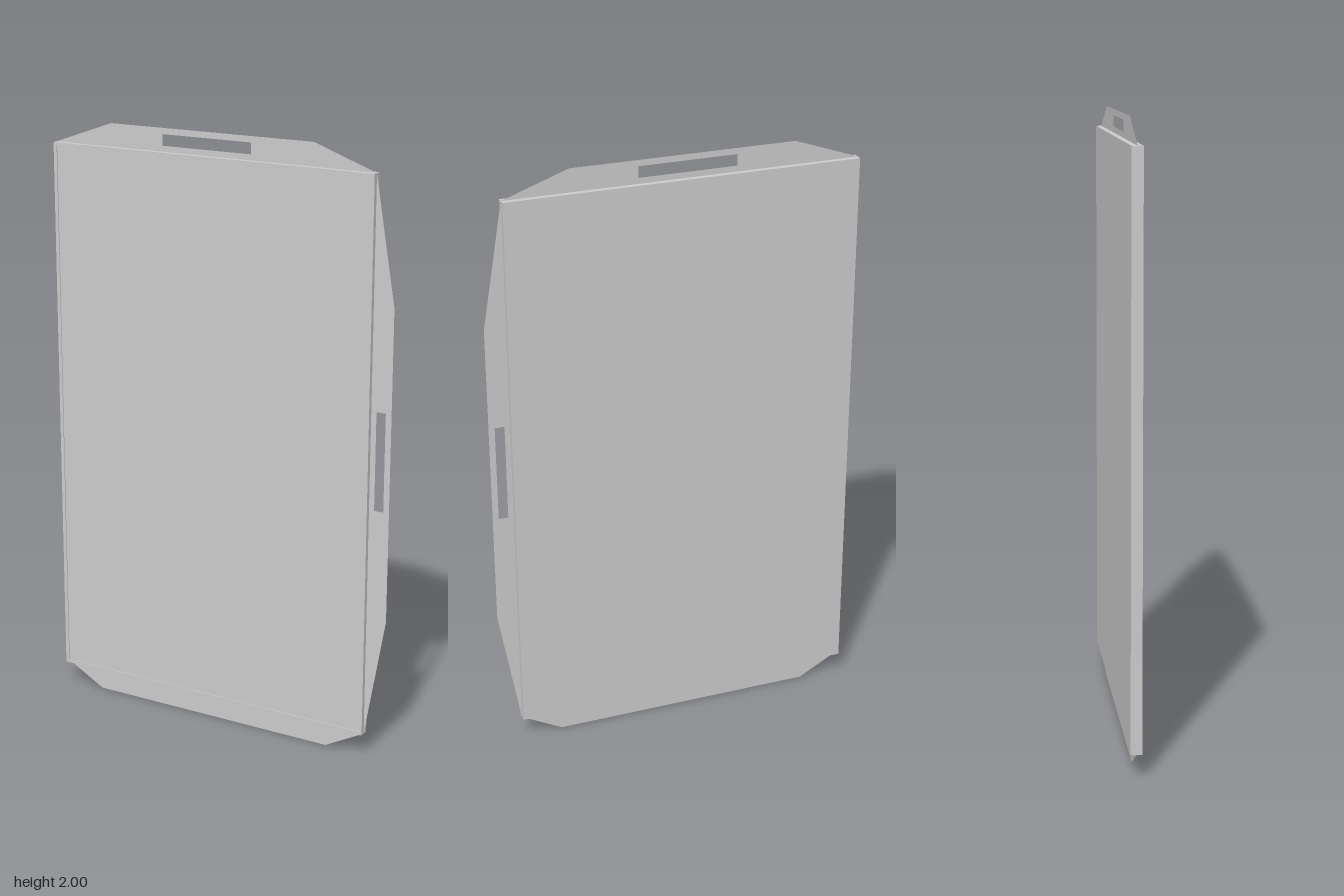
import * as THREE from 'three';

const LEFT = -0.62, RIGHT = 0.55, BOTTOM = 0.076, TOP = 1.924;
const HALF = 0.018, RIM = 0.012, RECESS = 0.003;

export function createModel() {
  const group = new THREE.Group();
  const solid = new THREE.MeshStandardMaterial({ color: 0xcccccc, flatShading: true });
  const sheet = new THREE.MeshStandardMaterial({ color: 0xcccccc, side: THREE.DoubleSide });

  const add = (name, geometry, material) => {
    const mesh = new THREE.Mesh(geometry, material);
    mesh.name = name;
    group.add(mesh);
  };

  // box given by its two opposite corners
  const box = (name, x0, x1, y0, y1, z0, z1) => {
    const geometry = new THREE.BoxGeometry(x1 - x0, y1 - y0, z1 - z0);
    geometry.translate((x0 + x1) / 2, (y0 + y1) / 2, (z0 + z1) / 2);
    add(name, geometry, solid);
  };

  // paper-thin flap in the middle plane, with an optional handle slot
  const flap = (name, corners, slot) => {
    const points = (list) => list.map(([x, y]) => new THREE.Vector2(x, y));
    const shape = new THREE.Shape(points(corners));
    if (slot) {
      const [x0, x1, y0, y1] = slot;
      shape.holes.push(new THREE.Path(points([[x0, y0], [x0, y1], [x1, y1], [x1, y0]])));
    }
    add(name, new THREE.ShapeGeometry(shape), sheet);
  };

  // main panel with a narrow front rim on three edges
  box('panel', LEFT, RIGHT, BOTTOM, TOP, -HALF, HALF - RECESS);
  box('leftEdgeRim', LEFT, LEFT + RIM, BOTTOM + RIM, TOP - RIM, HALF - RECESS, HALF);
  box('topRim', LEFT, RIGHT, TOP - RIM, TOP, HALF - RECESS, HALF);
  box('bottomRim', LEFT, RIGHT, BOTTOM, BOTTOM + RIM, HALF - RECESS, HALF);

  // tapered flaps
  flap('topFlap', [[LEFT, TOP], [RIGHT, TOP], [0.335, 2], [-0.405, 2]], [-0.21, 0.115, 1.943, 1.98]);
  flap('sideFlap', [[RIGHT, BOTTOM], [0.62, 0.485], [0.62, 1.515], [RIGHT, TOP]], [0.568, 0.6, 0.853, 1.178]);
  flap('bottomFlap', [[LEFT, BOTTOM], [-0.48, 0], [0.41, 0], [RIGHT, BOTTOM]]);

  return group;
}
